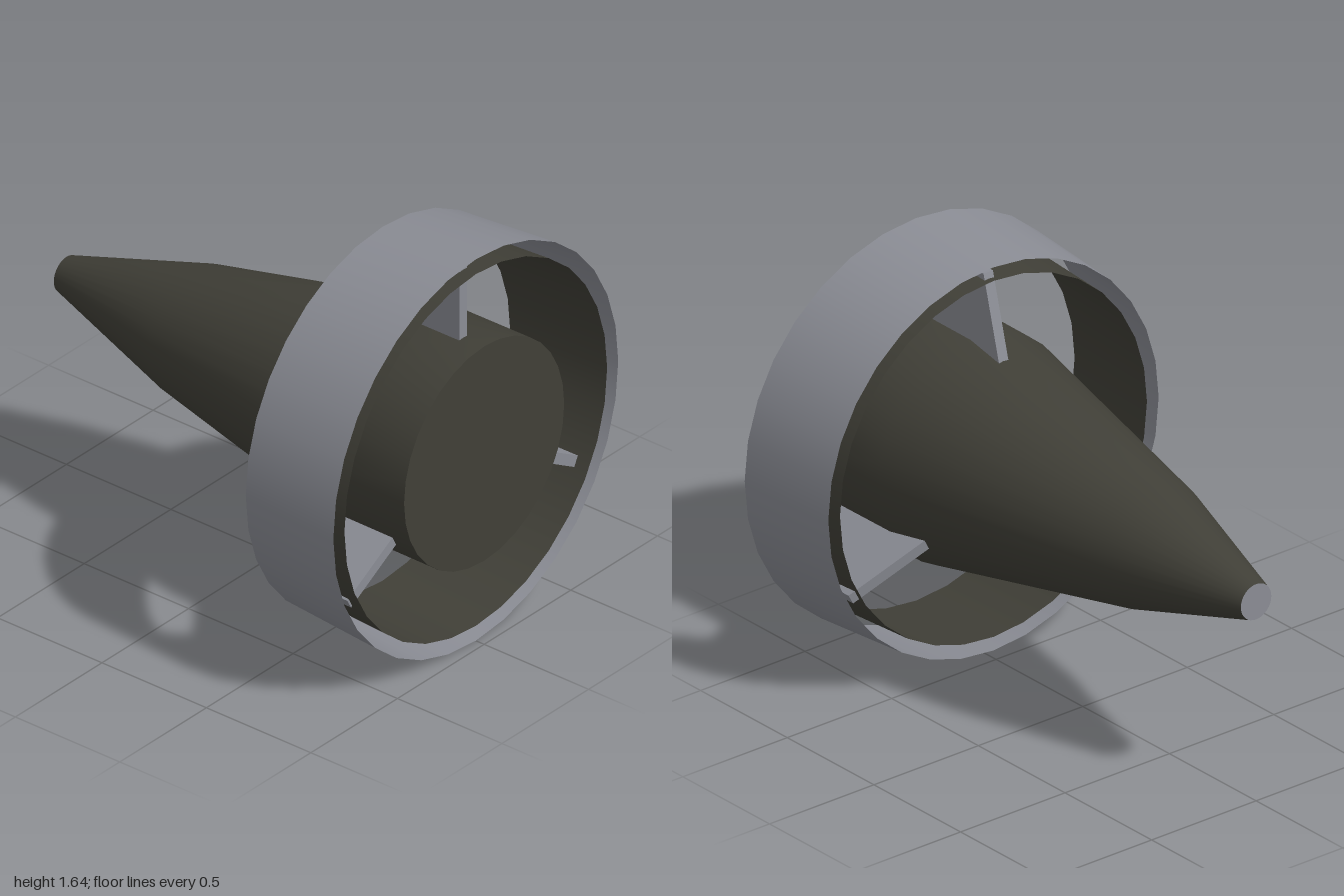
import * as THREE from 'three';

const CENTER_Y = 0.823;
const SEGMENTS = 32;

export function createModel() {
  const model = new THREE.Group();
  model.name = 'ductedTailCone';

  const dark = new THREE.MeshStandardMaterial({ color: 0x403f37 });
  dark.name = 'dark olive';
  const darkOpen = dark.clone();
  darkOpen.side = THREE.DoubleSide;
  const gray = new THREE.MeshStandardMaterial({ color: 0x8b8d95, side: THREE.DoubleSide });
  gray.name = 'steel gray';

  // everything is arranged around the z axis, then lifted to stand on y = 0
  const axis = new THREE.Group();
  axis.name = 'assembly';
  axis.position.y = CENTER_Y;
  model.add(axis);

  const add = (name, geometry, material) => {
    const mesh = new THREE.Mesh(geometry, material);
    mesh.name = name;
    axis.add(mesh);
    return mesh;
  };

  // surface of revolution about z from [radius, z] pairs, back to front
  const revolve = (points) =>
    new THREE.LatheGeometry(points.map(([r, z]) => new THREE.Vector2(r, z)), SEGMENTS)
      .rotateX(Math.PI / 2);

  // tapered body with its flat ends
  add('body', revolve([[0.073, -1], [0.252, -0.4], [0.46, 0.62], [0.462, 1]]), dark);
  add('frontCap', new THREE.CircleGeometry(0.462, SEGMENTS).translate(0, 0, 1), dark);
  add('tailCap', new THREE.CircleGeometry(0.073, SEGMENTS).rotateY(Math.PI).translate(0, 0, -1), gray);

  // shroud: two open, slightly tapered shells with a gap between them
  add('outerShroud', revolve([[0.791, 0.515], [0.822, 0.96]]), gray);
  add('innerShroud', revolve([[0.735, 0.515], [0.758, 0.96]]), darkOpen);

  // three struts with a swept rear edge, drawn as (z, radius)
  const outline = new THREE.Shape([
    new THREE.Vector2(0.455, 0.42),
    new THREE.Vector2(0.9, 0.42),
    new THREE.Vector2(0.9, 0.76),
    new THREE.Vector2(0.545, 0.76),
  ]);
  const thickness = 0.045;
  const strut = new THREE.ExtrudeGeometry(outline, { depth: thickness, bevelEnabled: false });
  strut.translate(0, 0, -thickness / 2).rotateY(-Math.PI / 2);
  for (let i = 0; i < 3; i++) {
    add('strut' + (i + 1), strut, gray).rotation.z = (i * 2 * Math.PI) / 3;
  }

  return model;
}
